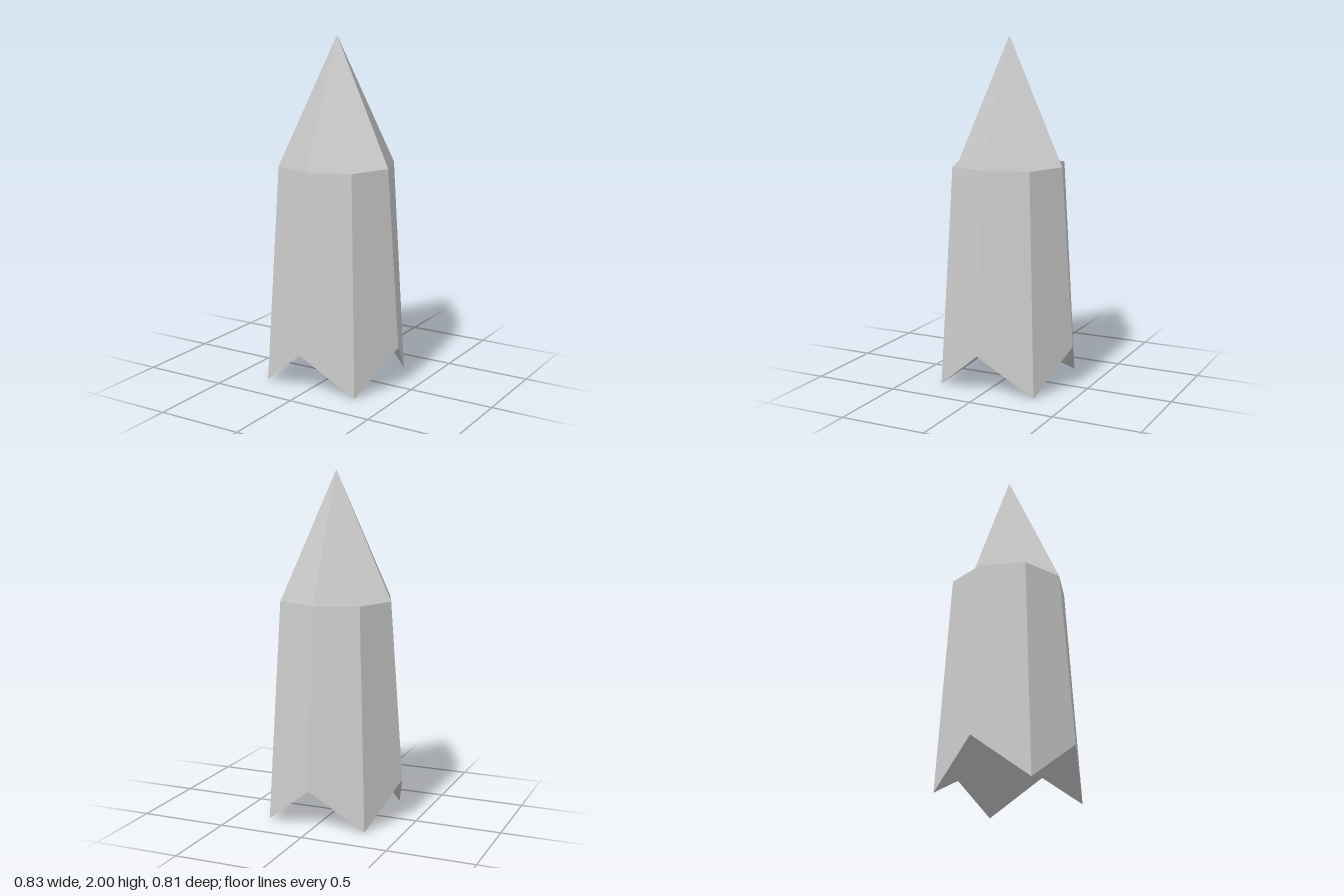
import * as THREE from 'three';

const material = new THREE.MeshStandardMaterial({ color: 0xcccccc });

// Four-cornered facets, each shaded evenly and folded along corners 0-2.
function facets(name, quads) {
  const positions = [], normals = [];
  for (const q of quads) {
    const normal = q[2].clone().sub(q[0]).cross(q[3].clone().sub(q[1])).normalize();
    for (const i of [0, 1, 2, 0, 2, 3]) {
      positions.push(...q[i].toArray());
      normals.push(...normal.toArray());
    }
  }
  const geometry = new THREE.BufferGeometry();
  geometry.setAttribute('position', new THREE.Float32BufferAttribute(positions, 3));
  geometry.setAttribute('normal', new THREE.Float32BufferAttribute(normals, 3));
  const mesh = new THREE.Mesh(geometry, material);
  mesh.name = name;
  return mesh;
}

// Eight-cornered ring: even corners on the axes, odd corners on the diagonals.
function ring(rx, rz, axisY, diagonal, diagonalY) {
  return Array.from({ length: 8 }, (_, i) => {
    const a = i * Math.PI / 4;
    const c = Math.round(Math.cos(a)), s = Math.round(Math.sin(a));
    return i % 2
      ? new THREE.Vector3(c * diagonal, diagonalY, s * diagonal)
      : new THREE.Vector3(c * rx, axisY, s * rz);
  });
}

export function createModel() {
  const group = new THREE.Group();
  group.name = 'crystalSpike';
  const apex = new THREE.Vector3(0, 2, 0);
  const hub = new THREE.Vector3(0, 0.238, 0);
  const upper = ring(0.335, 0.33, 1.27, 0.24, 1.27);
  const lower = ring(0.413, 0.406, 0.238, 0.295, 0);

  const tip = [], shaft = [], base = [];
  for (let i = 0; i < 8; i++) {
    const j = (i + 1) % 8;
    shaft.push([lower[i], upper[i], upper[j], lower[j]]);
    if (i % 2) continue;
    // each quarter of the tip and base; the fold direction alternates
    const k = (i + 2) % 8;
    const tipQuad = [upper[i], apex, upper[k], upper[j]];
    const baseQuad = [hub, lower[i], lower[j], lower[k]];
    if (i % 4) for (const q of [tipQuad, baseQuad]) q.push(q.shift());
    tip.push(tipQuad);
    base.push(baseQuad);
  }
  group.add(facets('tip', tip), facets('shaft', shaft), facets('notchedBase', base));
  return group;
}
